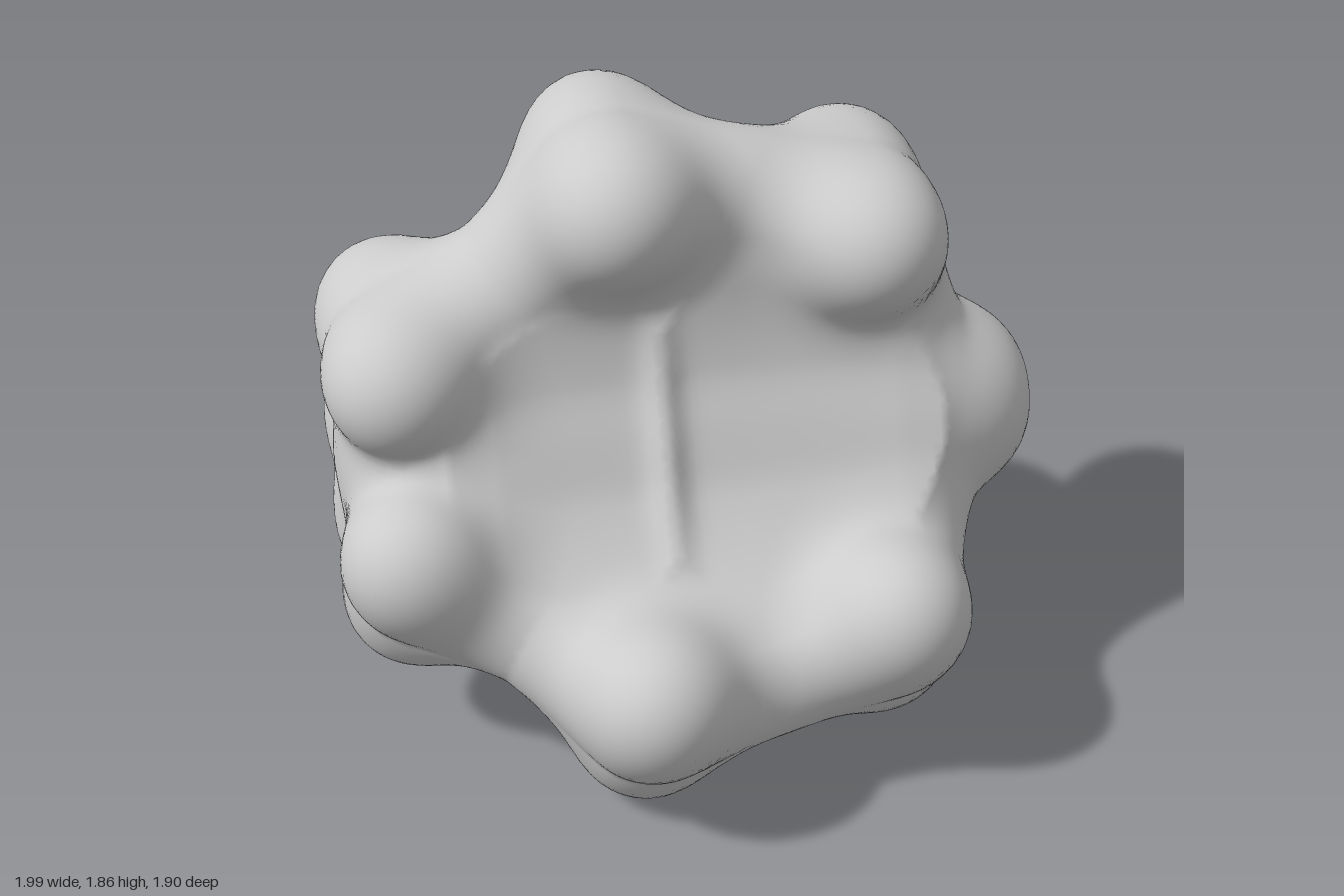
import * as THREE from 'three';

// A lumpy blob: three knobbly fins around a lengthwise axis, with dished hollows between.
const AXIS_Y = 0.845;
const directions = (degrees) => degrees.map((deg) => {
  const a = THREE.MathUtils.degToRad(deg);
  return [Math.cos(a), Math.sin(a)];
});
// directions as (z, y) of the fins and of the hollows between them
const FINS = directions([90, -38, 218]);
const HOLLOWS = directions([26, 154, 270]);
// fin outline as (x, distance from the axis)
const OUTLINE = [[-0.73, -0.1], [-0.75, 0.33], [-0.45, 0.51], [-0.2, 0.78], [0.46, 0.635], [0.71, -0.1]];
// knobs: x, distance from axis, radius
const KNOBS = [[-0.79, 0.36, 0.185], [-0.2, 0.81, 0.185], [0.48, 0.65, 0.18]];

const smin = (a, b, k) => {
  const h = Math.max(k - Math.abs(a - b), 0) / k;
  return Math.min(a, b) - h * h * k * 0.25;
};

// Signed distance to the fin outline
function outlineDistance(x, u) {
  let best = Infinity, inside = false;
  for (let i = 0, j = OUTLINE.length - 1; i < OUTLINE.length; j = i++) {
    const [ax, ay] = OUTLINE[i], [bx, by] = OUTLINE[j];
    const ex = bx - ax, ey = by - ay, px = x - ax, py = u - ay;
    const t = THREE.MathUtils.clamp((px * ex + py * ey) / (ex * ex + ey * ey), 0, 1);
    best = Math.min(best, Math.hypot(px - ex * t, py - ey * t));
    if ((ay > u) !== (by > u) && x < (ex * (u - ay)) / ey + ax) inside = !inside;
  }
  return inside ? -best : best;
}

// One fin with its paired knobs; u runs outward, v across
function fin(x, u, v) {
  let d = Math.hypot(Math.max(outlineDistance(x, u), 0), v) - 0.205;
  for (const [kx, ku, r] of KNOBS) {
    d = smin(d, Math.hypot(x - kx, u - ku, Math.abs(v) - 0.205) - r, 0.2);
  }
  return d;
}

// Three-sided core whose faces are the hollows: shallower at the ends, with a thin ridge across
function core(x, h, z, rho) {
  const depth = 0.325 + 0.03 * Math.min((x / 0.55) ** 2, 1) + 0.05 * Math.exp(-(((x + 0.1) / 0.05) ** 2));
  const faces = Math.max(...HOLLOWS.map(([cz, cy]) => z * cz + h * cy));
  return Math.max(faces - depth, Math.hypot(Math.max(Math.abs(x) - 0.35, 0), rho) - 0.48);
}

function field(x, y, z) {
  const h = y - AXIS_Y;
  const rho = Math.hypot(h, z);
  let d = core(x, h, z, rho);
  for (const [cz, cy] of FINS) d = smin(d, fin(x, z * cz + h * cy, z * cy - h * cz), 0.1);
  // blunt knob at the end where the fins meet
  const knob = Math.hypot(Math.max(Math.abs(x - 0.74) - 0.06, 0), Math.max(rho - 0.06, 0)) - 0.195;
  return smin(d, knob, 0.08);
}

// Wraps the field in a smooth skin of quads, one vertex per crossed cell
function skin(f, min, size, step) {
  const n = size.map((s) => Math.ceil(s / step) + 1);
  const stride = [1, n[0], n[0] * n[1]];
  const values = new Float32Array(n[0] * n[1] * n[2]);
  const cellVertex = new Int32Array(values.length).fill(-1);
  const each = (fn) => {
    for (let k = 0; k < n[2]; k++)
      for (let j = 0; j < n[1]; j++)
        for (let i = 0; i < n[0]; i++) fn([i, j, k], i + j * stride[1] + k * stride[2]);
  };
  each((p, id) => {
    values[id] = f(...p.map((c, a) => min[a] + c * step));
  });

  const positions = [], normals = [], index = [];
  each((p, id) => {
    if (p.some((c, a) => c >= n[a] - 1)) return;
    const sum = [0, 0, 0];
    let count = 0;
    for (let c = 0; c < 8; c++) {
      const bits = [c & 1, (c >> 1) & 1, (c >> 2) & 1];
      const s = id + bits[0] + bits[1] * stride[1] + bits[2] * stride[2];
      for (let a = 0; a < 3; a++) {
        if (bits[a]) continue;
        const v0 = values[s], v1 = values[s + stride[a]];
        if ((v0 < 0) === (v1 < 0)) continue;
        bits.forEach((b, q) => { sum[q] += b + (q === a ? v0 / (v0 - v1) : 0); });
        count++;
      }
    }
    if (!count) return;
    const v = sum.map((s, a) => min[a] + (p[a] + s / count) * step);
    const e = 0.012;
    const g = new THREE.Vector3(
      f(v[0] + e, v[1], v[2]) - f(v[0] - e, v[1], v[2]),
      f(v[0], v[1] + e, v[2]) - f(v[0], v[1] - e, v[2]),
      f(v[0], v[1], v[2] + e) - f(v[0], v[1], v[2] - e)
    ).normalize();
    cellVertex[id] = positions.length / 3;
    positions.push(...v);
    normals.push(g.x, g.y, g.z);
  });

  each((p, id) => {
    for (let a = 0; a < 3; a++) {
      const b = (a + 1) % 3, c = (a + 2) % 3;
      if (p[a] >= n[a] - 1 || !p[b] || !p[c]) continue;
      const inside = values[id] < 0;
      if (inside === values[id + stride[a]] < 0) continue;
      const q = [id - stride[b] - stride[c], id - stride[c], id, id - stride[b]].map((s) => cellVertex[s]);
      if (!inside) q.reverse();
      index.push(q[0], q[1], q[2], q[0], q[2], q[3]);
    }
  });

  const geometry = new THREE.BufferGeometry();
  geometry.setAttribute('position', new THREE.Float32BufferAttribute(positions, 3));
  geometry.setAttribute('normal', new THREE.Float32BufferAttribute(normals, 3));
  geometry.setIndex(index);
  return geometry;
}

export function createModel() {
  const group = new THREE.Group();
  group.name = 'knobblyBlob';
  const geometry = skin(field, [-1.1, -0.1, -1.1], [2.2, 2.1, 2.2], 0.026);

  // stand on the ground, centred
  geometry.computeBoundingBox();
  const { min, max } = geometry.boundingBox;
  geometry.translate(-(min.x + max.x) / 2, -min.y, -(min.z + max.z) / 2);

  const body = new THREE.Mesh(geometry, new THREE.MeshStandardMaterial({ color: 0xcccccc }));
  body.name = 'finnedBody';
  group.add(body);
  return group;
}
